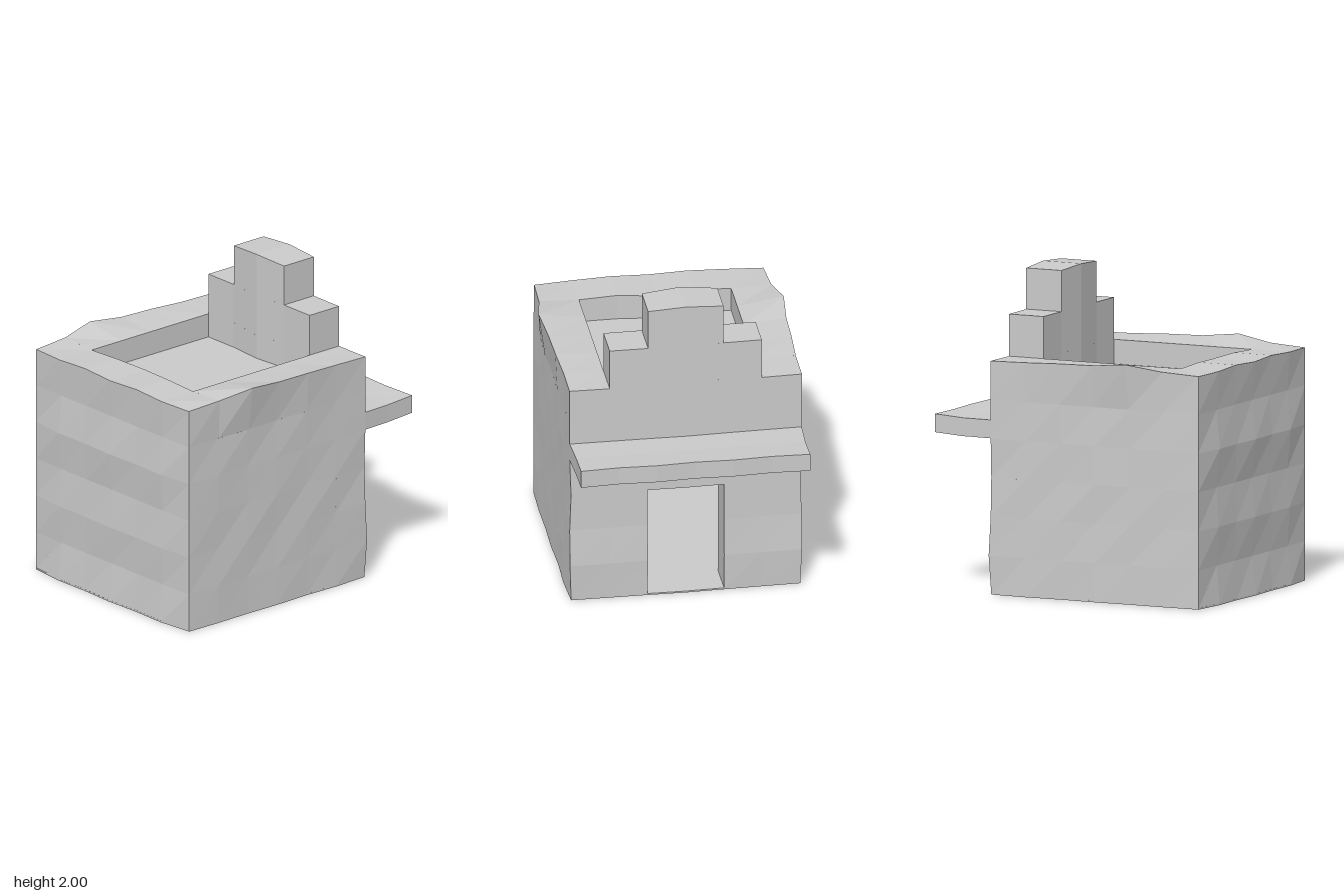
import * as THREE from 'three';

const S = 0.242; // grid cell
const X = 0.72, BACK = -0.54, FRONT = 0.912, TOP = 1.465;
const DOOR = 0.735, ROOF = 1.31, ROW = 1.222;
const material = new THREE.MeshStandardMaterial({ color: 0xcccccc, flatShading: true, side: THREE.DoubleSide });

// Hand-made bulges on the outer skin, by grid row or column
const frontRows = [0.024, -0.004, 0.016, -0.004, 0.024, -0.004, 0.014];
const topSide = [0.01, 0.01, 0.022, 0.028, 0.05, 0.01, 0];
const topRise = [0, 0.005, 0.015, 0.02, 0.044, 0.008, -0.005];

function wobble(v) {
  const { x, y, z } = v;
  const i = Math.min(3, Math.round(Math.abs(x) / 0.24));
  const j = Math.round(y / 0.245);
  const k = Math.max(0, Math.min(6, Math.round((z - BACK) / S)));
  const side = Math.abs(x) > 0.7;
  // front wall
  if (z > 0.89) v.z += frontRows[j] * [1, 0.6, 0.8, 0][i] - (side ? 0.006 : 0);
  // side walls
  if (side && z > -0.6) {
    const bulge = j === 6 ? topSide[k] : (k === 6 ? 0.003 : 0.01 * Math.abs(Math.sin(j * 2.1 + k * 1.7)));
    v.x += Math.sign(x) * bulge;
  }
  // rim of the roof
  if (Math.abs(y - TOP) < 0.01) {
    if (side) v.y += topRise[k];
    else v.y += (i === 1 ? 0.008 : -0.002);
  }
  // back wall
  if (Math.abs(z - BACK) < 0.01) v.z -= j === 1 ? 0.014 : [0.01, 0.005, 0.002, 0][i];
  // inner edges of the roof recess and parapet front
  if (y > ROOF - 0.2 && i === 0) {
    if (Math.abs(z - 0.66) < 0.01) v.z -= 0.025;
    if (Math.abs(z + 0.3) < 0.01) v.z += 0.02;
  }
  // awning lip and crest of the parapet
  if (z < -0.9) { v.z += i % 2 ? 0 : 0.01; v.y += 0.012; }
  if (y > 1.9 && i === 0) v.y += 0.015;
}

export function createModel() {
  const model = new THREE.Group();
  model.name = 'adobeHouse';

  // Box between two corners, split along the grid and bulged by the rule
  function block(name, [x0, y0, z0], [x1, y1, z1]) {
    const n = (d) => Math.max(1, Math.round(d / S));
    const w = x1 - x0, h = y1 - y0, d = z1 - z0;
    const geo = new THREE.BoxGeometry(w, h, d, n(w), n(h), n(d));
    geo.translate((x0 + x1) / 2, (y0 + y1) / 2, (z0 + z1) / 2);
    const p = geo.attributes.position, v = new THREE.Vector3();
    for (let a = 0; a < p.count; a++) {
      wobble(v.fromBufferAttribute(p, a));
      p.setXYZ(a, v.x, v.y, v.z);
    }
    const mesh = new THREE.Mesh(geo, material);
    mesh.name = name;
    model.add(mesh);
  }

  // Room: floor, thin front and side walls, thick back wall around the doorway
  block('floor', [-X, 0, BACK], [X, 0.01, FRONT]);
  block('frontWall', [-X, 0, FRONT - 0.01], [X, DOOR, FRONT]);
  block('rightWall', [-X, 0, BACK], [-X + 0.01, DOOR, FRONT]);
  block('leftWall', [X - 0.01, 0, BACK], [X, DOOR, FRONT]);
  block('rightDoorJamb', [-X, 0, BACK], [-0.24, DOOR, -0.3]);
  block('leftDoorJamb', [0.24, 0, BACK], [X, DOOR, -0.3]);

  // Solid upper storey and sunken roof
  block('upperWalls', [-X, DOOR, BACK], [X, ROW, FRONT]);
  block('roofDeck', [-0.5, ROW, -0.35], [0.5, ROOF, 0.7]);

  // Rim around the roof
  block('frontRim', [-X, ROW, 0.66], [X, TOP, FRONT]);
  block('backRim', [-X, ROW, BACK], [X, TOP, -0.3]);
  block('rightRim', [-X, ROW, -0.3], [-0.478, TOP, 0.66]);
  block('leftRim', [0.478, ROW, -0.3], [X, TOP, 0.66]);

  // Stepped parapet above the door
  block('parapetLower', [-0.478, TOP, BACK], [0.478, 1.727, -0.3]);
  block('parapetUpper', [-0.237, 1.727, BACK], [0.237, 1.985, -0.3]);

  // Awning over the doorway
  block('awning', [-X, 0.98, -0.933], [X, 1.095, BACK]);

  return model;
}
